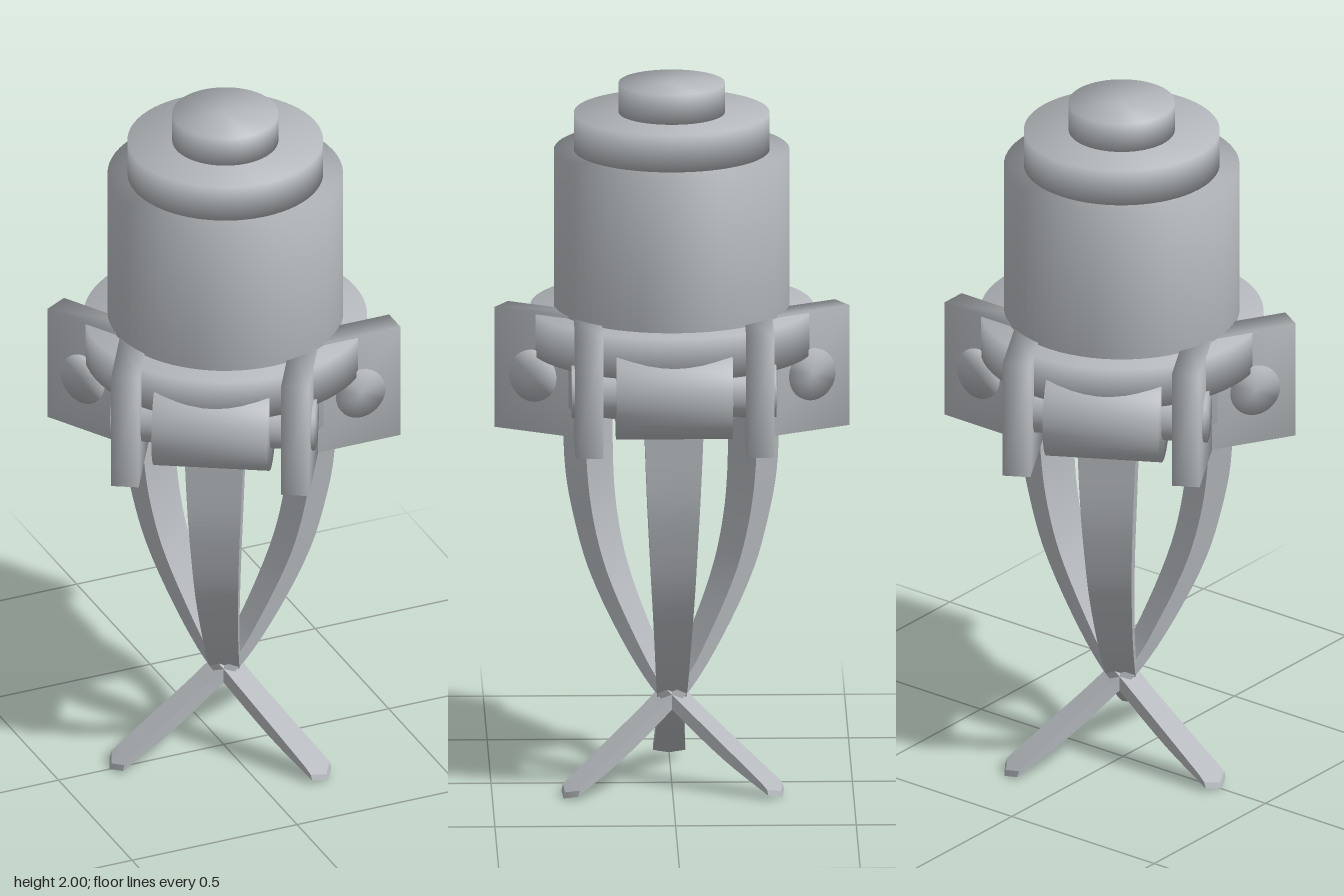
import * as THREE from 'three';
import { mergeVertices } from 'three/addons/utils/BufferGeometryUtils.js';

const steel = new THREE.MeshStandardMaterial({ color: 0xb4b8bc });
steel.name = 'steel grey';

// Weld all corners so that shading flows over the edges
function soften(geometry) {
  geometry.deleteAttribute('uv');
  geometry.deleteAttribute('normal');
  const welded = mergeVertices(geometry, 1e-4);
  welded.computeVertexNormals();
  return welded;
}

function add(parent, name, geometry, x = 0, y = 0, z = 0) {
  const mesh = new THREE.Mesh(geometry, steel);
  mesh.name = name;
  mesh.position.set(x, y, z);
  parent.add(mesh);
  return mesh;
}

// Upright drum between two heights
function drum(parent, name, radius, y0, y1) {
  const g = soften(new THREE.CylinderGeometry(radius, radius, y1 - y0, 64));
  add(parent, name, g, 0, (y0 + y1) / 2, 0);
}

// Horizontal cylinder along z
function barrel(radius, length) {
  return soften(new THREE.CylinderGeometry(radius, radius, length, 48).rotateX(Math.PI / 2));
}

// Curved, tapering claw: a box bent along an outer and an inner edge
function clawGeometry() {
  const curve = pts => new THREE.CatmullRomCurve3(pts.map(p => new THREE.Vector3(p[0], p[1], p[2] || 0)));
  // radius, height, half width
  const outer = curve([[0.3, 1.16, 0.085], [0.3, 1.03, 0.08], [0.295, 0.87, 0.073], [0.274, 0.75, 0.067],
    [0.23, 0.6, 0.06], [0.135, 0.415, 0.05], [0.04, 0.28, 0.043], [-0.025, 0.22, 0.038],
    [-0.185, 0.1, 0.04], [-0.35, 0.003, 0.045]]);
  const inner = curve([[0.23, 1.16], [0.23, 1.03], [0.224, 0.85], [0.208, 0.73], [0.173, 0.6],
    [0.1, 0.44], [0.02, 0.305], [-0.035, 0.255], [-0.185, 0.14], [-0.345, 0.02]]);
  const g = new THREE.BoxGeometry(1, 1, 1, 1, 36, 2);
  const pos = g.attributes.position;
  for (let i = 0; i < pos.count; i++) {
    const t = 0.5 - pos.getY(i);
    const side = pos.getZ(i);
    const o = outer.getPoint(t);
    const p = pos.getX(i) > 0 ? o : inner.getPoint(t);
    // the tip corners are drawn back to leave a blunt point
    const back = t > 0.999 && Math.abs(side) > 0.1 ? 0.02 : 0;
    pos.setXYZ(i, p.x + back, p.y + back * 0.6, side * 2 * o.z);
  }
  g.computeVertexNormals();
  return g;
}

export function createModel() {
  const model = new THREE.Group();
  model.name = 'threeClawGripper';
  const body = new THREE.Group();
  body.name = 'gripper';
  body.position.x = 0.005;
  model.add(body);

  // Central stack
  drum(body, 'mainBody', 0.326, 1.11, 1.81);
  drum(body, 'hubFlange', 0.392, 1.245, 1.365);
  drum(body, 'upperStep', 0.271, 1.81, 1.915);
  drum(body, 'topCap', 0.147, 1.915, 2);

  const rollerGeo = barrel(0.13, 0.322);
  const axleGeo = barrel(0.073, 0.566);
  const cheekGeo = soften(new THREE.BoxGeometry(0.254, 0.342, 0.077));
  const clawGeo = clawGeometry();

  // Three arms around the axis
  for (let i = 0; i < 3; i++) {
    const arm = new THREE.Group();
    arm.name = 'arm' + (i + 1);
    arm.rotation.y = (i * Math.PI * 2) / 3;
    add(arm, 'roller', rollerGeo, 0.298, 1.19, 0);
    add(arm, 'axle', axleGeo, 0.286, 1.19, 0);
    for (const s of [-1, 1]) add(arm, 'cheekPlate', cheekGeo, 0.281, 1.2, s * 0.2365);
    add(arm, 'claw', clawGeo);
    body.add(arm);
  }
  return model;
}
